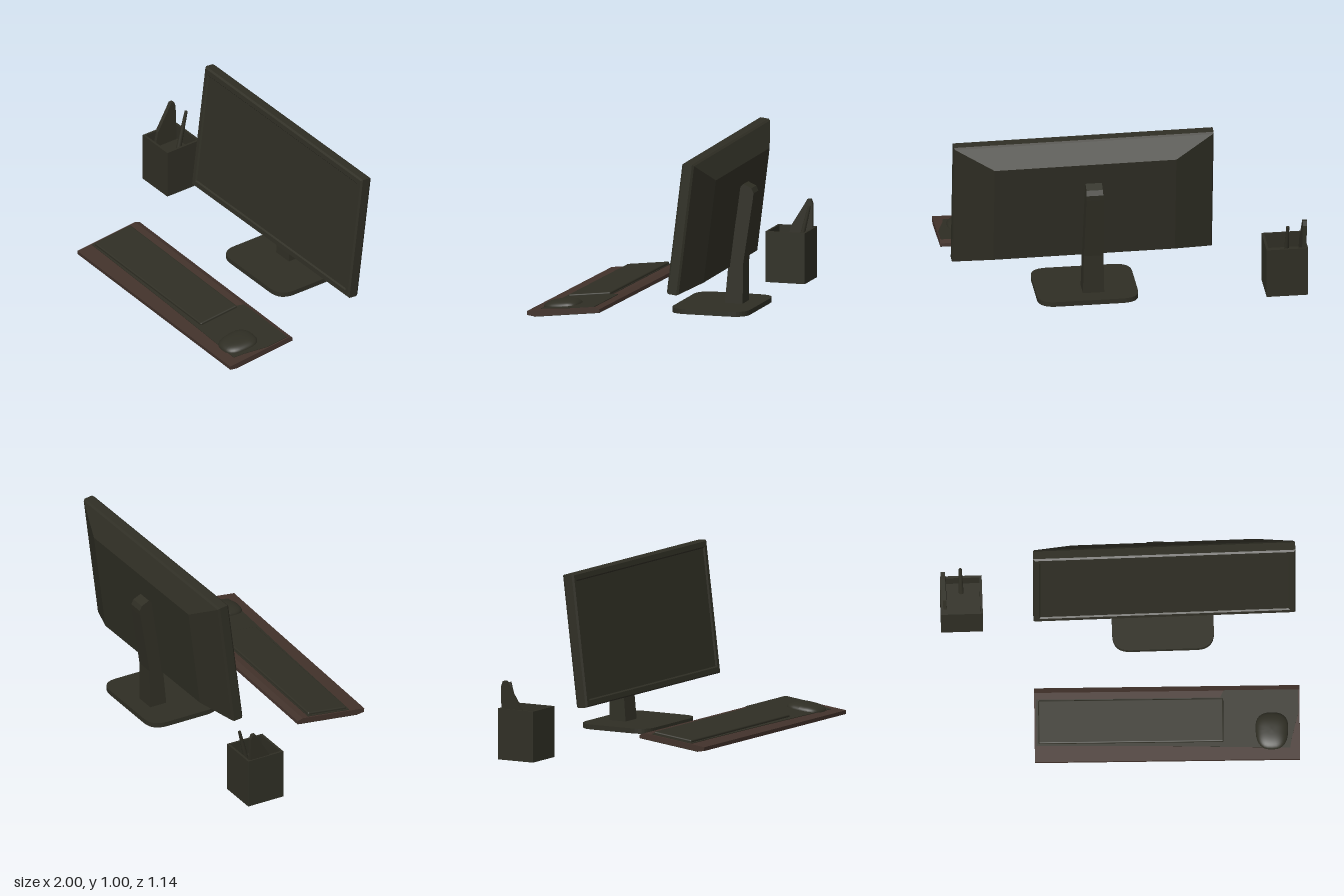
import * as THREE from 'three';
import { RoundedBoxGeometry } from 'three/addons/geometries/RoundedBoxGeometry.js';

const makeMat = (name, hex) => {
  const m = new THREE.MeshStandardMaterial({ color: hex });
  m.name = name;
  return m;
};

// Side profile of [z, y] points, extruded along x and centred on x = 0
function extrudeX(points, width) {
  const shape = new THREE.Shape(points.map(([z, y]) => new THREE.Vector2(z, y)));
  const g = new THREE.ExtrudeGeometry(shape, { depth: width, bevelEnabled: false });
  return g.rotateY(-Math.PI / 2).translate(width / 2, 0, 0);
}

// Flat outline of [x, z] points, extruded upwards from y = 0
function extrudeY(shape, height) {
  return new THREE.ExtrudeGeometry(shape, { depth: height, bevelEnabled: false, curveSegments: 8 })
    .rotateX(-Math.PI / 2);
}

// Rectangular rings [halfWidth, bottom, top, depth] joined from front to back, closed at the back
function loftRects(rings) {
  const loops = rings.map(([w, b, t, d]) => [[-w, b, -d], [w, b, -d], [w, t, -d], [-w, t, -d]]);
  const pos = [];
  const tri = (...p) => p.forEach((v) => pos.push(...v));
  for (let i = 0; i < loops.length - 1; i++) {
    const f = loops[i], k = loops[i + 1];
    for (let j = 0; j < 4; j++) {
      const n = (j + 1) % 4;
      tri(f[j], k[j], k[n]);
      tri(f[j], k[n], f[n]);
    }
  }
  const e = loops[loops.length - 1];
  tri(e[0], e[3], e[2]);
  tri(e[0], e[2], e[1]);
  const g = new THREE.BufferGeometry();
  g.setAttribute('position', new THREE.Float32BufferAttribute(pos, 3));
  g.computeVertexNormals();
  return g;
}

function roundedRect(w, h, r) {
  const s = new THREE.Shape(), x = w / 2, y = h / 2;
  s.moveTo(-x + r, -y);
  s.lineTo(x - r, -y).quadraticCurveTo(x, -y, x, -y + r);
  s.lineTo(x, y - r).quadraticCurveTo(x, y, x - r, y);
  s.lineTo(-x + r, y).quadraticCurveTo(-x, y, -x, y - r);
  s.lineTo(-x, -y + r).quadraticCurveTo(-x, -y, -x + r, -y);
  return s;
}

export function createModel() {
  const root = new THREE.Group();
  const olive = makeMat('darkOlive', 0x2f2e24);
  const brown = makeMat('darkBrown', 0x42322b);

  const add = (parent, name, geo, mat, x = 0, y = 0, z = 0) => {
    const m = new THREE.Mesh(geo, mat);
    m.name = name;
    m.position.set(x, y, z);
    parent.add(m);
    return m;
  };
  const group = (name, x, y, z) => {
    const g = new THREE.Group();
    g.name = name;
    g.position.set(x, y, z);
    g.rotation.order = 'YXZ';
    root.add(g);
    return g;
  };

  // Monitor: recessed screen, bezel and tapered back, leaning backwards
  const monitor = group('monitor', 0.255, 0.243, -0.247);
  monitor.rotation.set(-0.124, 0.008, -0.003);
  add(monitor, 'monitorCase', loftRects([
    [0.697, 0.043, 0.712, 0.008], [0.705, 0.036, 0.72, 0], [0.728, 0.008, 0.749, 0],
    [0.737, 0, 0.757, 0.01], [0.737, 0, 0.757, 0.058], [0.73, 0.006, 0.75, 0.07],
    [0.515, 0.05, 0.643, 0.146],
  ]), olive);
  add(monitor, 'screen', new THREE.PlaneGeometry(1.394, 0.669), olive, 0, 0.3775, -0.008);

  // Stand: rounded foot and tapering column
  const stand = group('stand', 0, 0, 0);
  add(stand, 'standFoot', extrudeY(roundedRect(0.572, 0.452, 0.1), 0.028), olive, 0.245, 0.041, -0.346);
  const column = extrudeX([
    [-0.37, 0.065], [-0.475, 0.065], [-0.477, 0.3], [-0.532, 0.67], [-0.535, 0.7],
    [-0.522, 0.728], [-0.475, 0.75], [-0.458, 0.735], [-0.435, 0.56], [-0.39, 0.29],
  ], 0.12);
  const p = column.attributes.position;
  for (let i = 0; i < p.count; i++) p.setX(i, p.getX(i) * (1.03 - 0.35 * p.getY(i)));
  column.computeVertexNormals();
  add(stand, 'standColumn', column, olive, 0.21);

  // Sloping tray with mat, keyboard and mouse
  const desk = group('tray', 0.25, 0.1, 0.338);
  desk.rotation.set(0.115, -0.02, 0.006);
  add(desk, 'trayBoard', extrudeX([
    [-0.215, -0.0165], [-0.215, 0.002], [-0.185, 0.0165], [0.215, 0.0165],
    [0.215, -0.006], [0.175, -0.0165],
  ].reverse(), 1.49), brown);
  add(desk, 'trayUnderside', new THREE.BoxGeometry(1.486, 0.003, 0.385), olive, 0, -0.0175, -0.02);
  const outline = [
    [-0.735, -0.145], [0.3, -0.145], [0.32, -0.186], [0.738, -0.186], [0.738, -0.05],
    [0.7, 0.09], [0.69, 0.15], [0.5, 0.145], [0.3, 0.14], [0, 0.132], [-0.735, 0.122],
  ];
  add(desk, 'mat', extrudeY(
    new THREE.Shape(outline.map(([x, z]) => new THREE.Vector2(x, -z)).reverse()), 0.004), olive, 0, 0.0155, 0);
  add(desk, 'keyboard', new RoundedBoxGeometry(1.04, 0.024, 0.25, 2, 0.008), olive, -0.203, 0.021, -0.013);

  // Mouse: squared-off dome
  const dome = new THREE.SphereGeometry(1, 28, 10, 0, Math.PI * 2, 0, Math.PI / 2);
  const q = dome.attributes.position;
  const soft = (v) => Math.sign(v) * Math.pow(Math.abs(v), 0.75);
  for (let i = 0; i < q.count; i++) {
    const x = soft(q.getX(i)), z = soft(q.getZ(i));
    q.setXYZ(i, x * (0.092 - 0.006 * z), q.getY(i) * 0.034, z * 0.107);
  }
  dome.computeVertexNormals();
  add(desk, 'mouse', dome, olive, 0.588, 0.0175, 0.052);

  // Pen holder: open square box
  const holder = group('penHolder', -0.8825, 0, -0.4);
  const box = roundedRect(0.235, 0.23, 0.002);
  box.holes.push(new THREE.Path(
    [[-0.104, -0.102], [-0.104, 0.102], [0.104, 0.102], [0.104, -0.102]].map(([x, y]) => new THREE.Vector2(x, y))));
  add(holder, 'holderWalls', extrudeY(box, 0.29), olive);
  add(holder, 'holderFloor', new THREE.BoxGeometry(0.23, 0.2, 0.225), olive, 0, 0.1, 0);

  // Ruler-like blade and leaning pen
  const blade = add(holder, 'blade', extrudeX([
    [0.05, 0.2], [0.03, 0.29], [-0.05, 0.42], [-0.065, 0.447], [-0.085, 0.447],
    [-0.095, 0.42], [-0.098, 0.2],
  ].reverse(), 0.024), olive, -0.089);
  blade.rotation.z = 0.03;
  const from = new THREE.Vector3(0, 0.2, -0.05), to = new THREE.Vector3(-0.003, 0.425, -0.105);
  const pen = add(holder, 'pen', new THREE.CylinderGeometry(0.009, 0.015, from.distanceTo(to), 10), olive);
  pen.position.copy(from).lerp(to, 0.5);
  pen.quaternion.setFromUnitVectors(new THREE.Vector3(0, 1, 0), to.clone().sub(from).normalize());

  return root;
}
